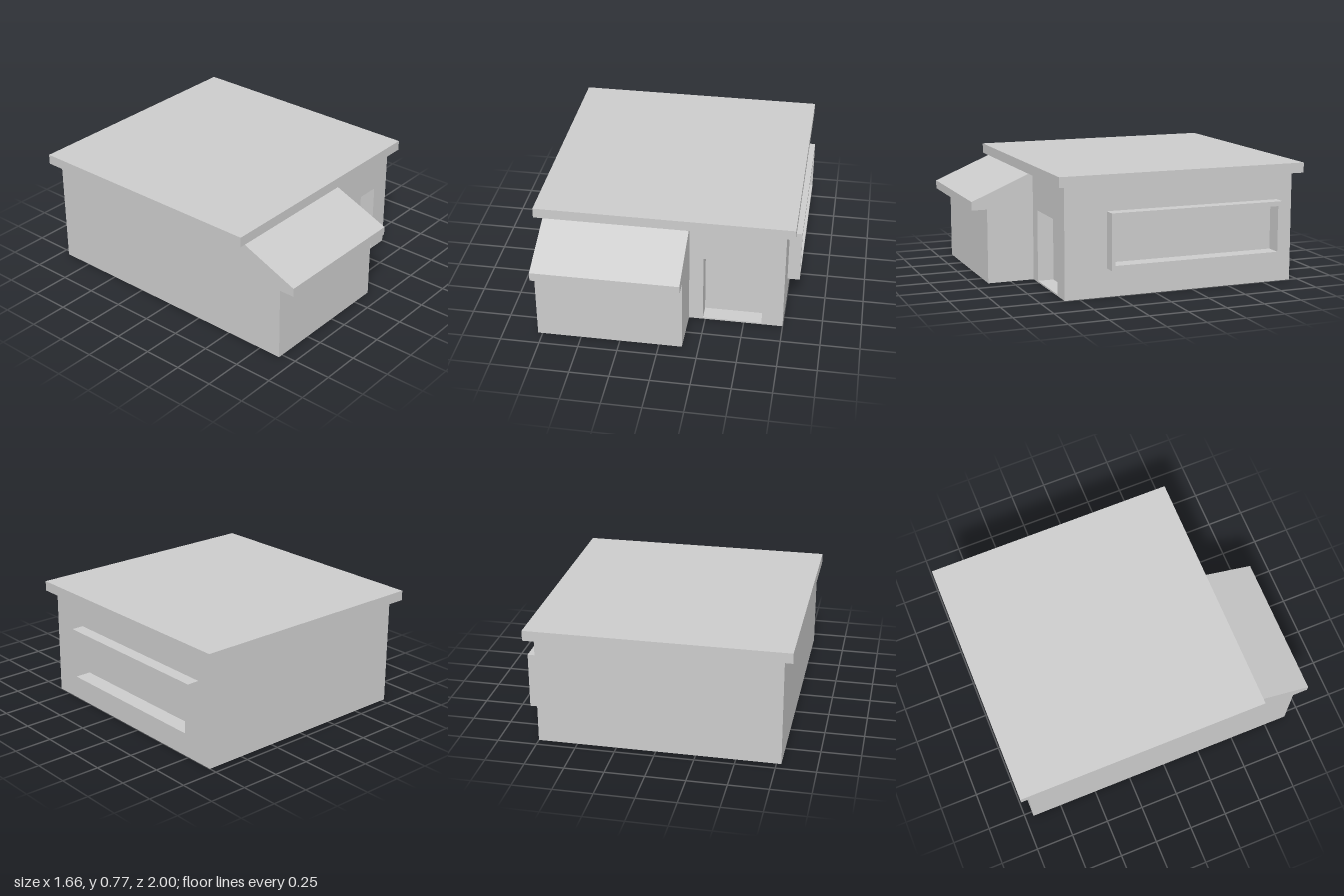
import * as THREE from 'three';

const material = new THREE.MeshStandardMaterial({
  color: 0xcccccc, flatShading: true, side: THREE.DoubleSide,
});

// Counter-clockwise rectangle outline
const rect = (x0, y0, x1, y1) => [[x0, y0], [x1, y0], [x1, y1], [x0, y1]];
const toVectors = (outline) => outline.map(([x, y]) => new THREE.Vector2(x, y));

// Flat panel at a given depth, with an optional opening
function panel(outline, depth, opening) {
  const shape = new THREE.Shape(toVectors(outline));
  if (opening) shape.holes.push(new THREE.Path(toVectors(opening)));
  return new THREE.ShapeGeometry(shape).translate(0, 0, depth);
}

// Strip of walls that follows an outline between two depths
function band(outline, near, far, closed = true) {
  const positions = [];
  const count = closed ? outline.length : outline.length - 1;
  for (let i = 0; i < count; i++) {
    const [ax, ay] = outline[i];
    const [bx, by] = outline[(i + 1) % outline.length];
    positions.push(ax, ay, near, bx, by, near, bx, by, far);
    positions.push(ax, ay, near, bx, by, far, ax, ay, far);
  }
  const geometry = new THREE.BufferGeometry();
  geometry.setAttribute('position', new THREE.Float32BufferAttribute(positions, 3));
  geometry.computeVertexNormals();
  return geometry;
}

export function createModel() {
  const model = new THREE.Group();
  model.name = 'house';

  // One group per building side; local z points outward
  const side = (name, rx, ry) => {
    const group = new THREE.Group();
    group.name = name;
    group.rotation.set(rx, ry, 0);
    model.add(group);
    return group;
  };
  const add = (parent, name, geometry) => {
    const mesh = new THREE.Mesh(geometry, material);
    mesh.name = name;
    parent.add(mesh);
  };

  const front = side('frontSide', 0, 0);
  const left = side('leftSide', 0, Math.PI / 2);
  const right = side('rightSide', 0, -Math.PI / 2);
  const back = side('backSide', 0, Math.PI);
  const roof = side('roof', -Math.PI / 2, 0);
  const porch = side('frontExtension', 0, Math.PI / 2);

  // Plain walls
  add(right, 'rightWall', panel(rect(-0.945, 0, 0.595, 0.705), 0.78));
  add(back, 'backWall', panel(rect(-0.75, 0, 0.78, 0.705), 0.945));

  // Front wall with a recessed door
  const door = rect(0.235, 0.01, 0.615, 0.47);
  add(front, 'frontWall', panel(rect(0.145, 0, 0.75, 0.705), 0.595, door));
  add(front, 'doorReveal', band([...door].reverse(), 0.49, 0.595));
  add(front, 'door', panel(door, 0.49));

  // Left wall with a long window in a projecting frame
  const frame = rect(-0.32, 0.18, 0.84, 0.535);
  const glass = rect(-0.295, 0.21, 0.81, 0.505);
  add(left, 'leftWall', panel(rect(-0.595, 0, 0.945, 0.705), 0.75, glass));
  add(left, 'windowFrameSides', band(frame, 0.75, 0.83));
  add(left, 'windowFrameFace', panel(frame, 0.83, glass));
  add(left, 'windowReveal', band([...glass].reverse(), 0.725, 0.83));
  add(left, 'windowPane', panel(glass, 0.725));

  // Flat roof: hollow slab with an overhanging soffit
  const eaves = rect(-0.835, -0.645, 0.805, 1);
  add(roof, 'roofTop', panel(eaves, 0.77));
  add(roof, 'roofFascia', band(eaves, 0.705, 0.77));
  add(roof, 'roofSoffit', panel(eaves, 0.705, rect(-0.78, -0.595, 0.75, 0.945)));

  // Front extension: lean-to roof, eave and front wall, open to the house
  const profile = [[-0.595, 0.705], [-1, 0.535], [-1, 0.48], [-0.9, 0.48], [-0.9, 0]];
  const gable = [...profile, [-0.595, 0]];
  add(porch, 'extensionRoofAndWall', band(profile, -0.78, 0.145, false));
  add(porch, 'extensionLeftWall', panel(gable, 0.145));
  const outerWall = panel(gable, 0);
  outerWall.scale(-1, 1, 1).rotateY(Math.PI).translate(0, 0, -0.78);
  add(porch, 'extensionRightWall', outerWall);

  return model;
}
